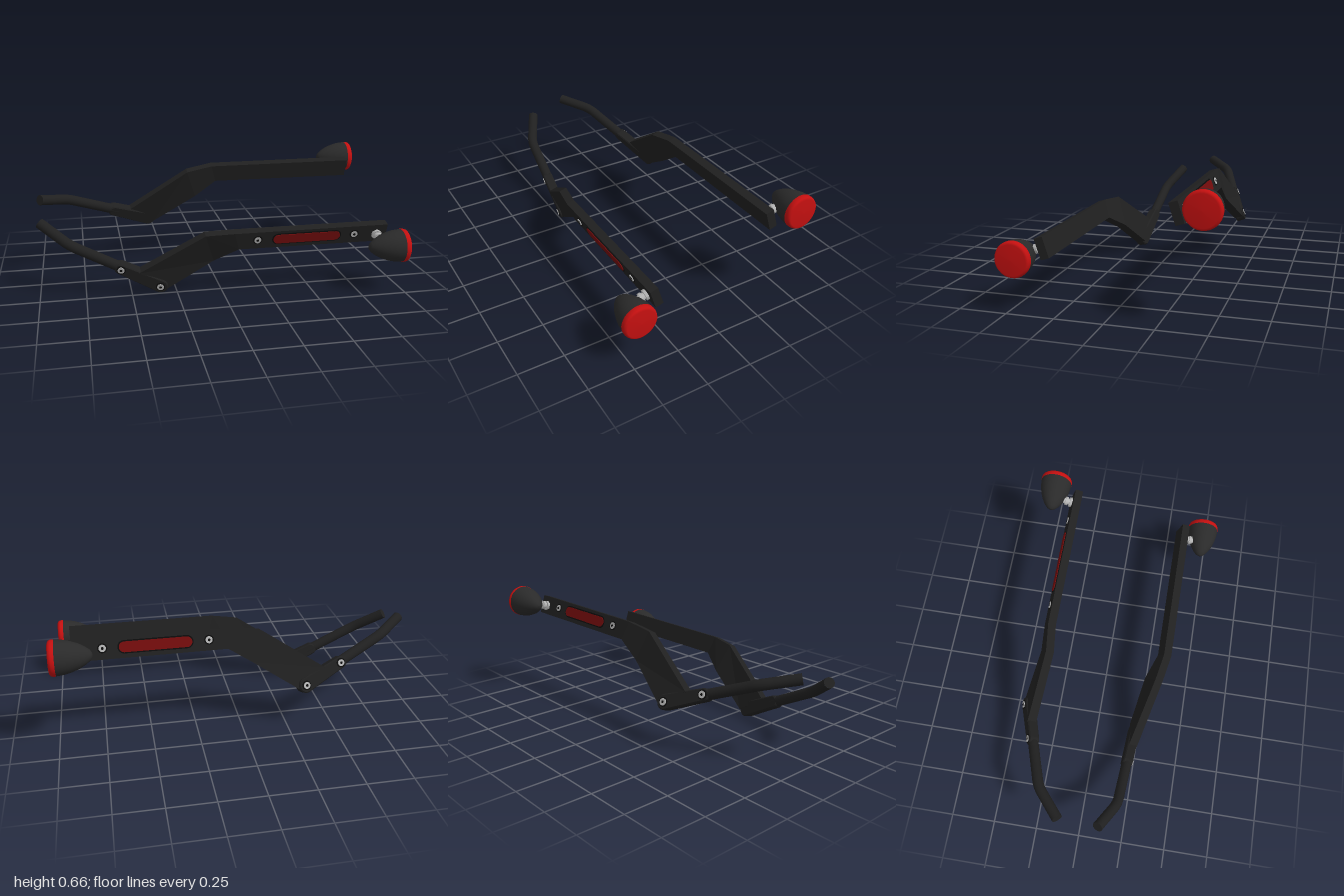
import * as THREE from 'three';

const mat = (name, color) => {
  const m = new THREE.MeshStandardMaterial({ color });
  m.name = name;
  return m;
};

// Box-like strip through four-cornered sections, flat shaded
function loft(sections) {
  const pos = [];
  const tri = (...p) => p.forEach((v) => pos.push(...v));
  const quad = (a, b, c, d) => tri(a, b, c, a, c, d);
  for (let i = 0; i < sections.length - 1; i++) {
    const a = sections[i], b = sections[i + 1];
    for (let k = 0; k < 4; k++) {
      const n = (k + 1) % 4;
      quad(a[k], a[n], b[n], b[k]);
    }
  }
  const s = sections[0], e = sections[sections.length - 1];
  quad(s[3], s[2], s[1], s[0]);
  quad(e[0], e[1], e[2], e[3]);
  const g = new THREE.BufferGeometry();
  g.setAttribute('position', new THREE.Float32BufferAttribute(pos, 3));
  g.computeVertexNormals();
  return g;
}

// Section from top and bottom points with inner and outer depths
const section = (tx, ty, tIn, tOut, bx, by, bIn, bOut) =>
  [[tx, ty, tOut], [tx, ty, tIn], [bx, by, bIn], [bx, by, bOut]];

// Pill outline with its own radius at each end
function pill(length, r0, r1) {
  const s = new THREE.Shape();
  s.absarc(0, 0, r0, Math.PI / 2, Math.PI * 1.5, false);
  s.absarc(length, 0, r1, -Math.PI / 2, Math.PI / 2, false);
  s.closePath();
  return s;
}

const plate = (shape, depth, bevel = 0) => new THREE.ExtrudeGeometry(shape, {
  depth, bevelEnabled: bevel > 0, bevelSize: bevel, bevelThickness: bevel,
  bevelOffset: -bevel, bevelSegments: 1, curveSegments: 10,
});

// Disc standing out along +z
const stud = (r, depth, sides = 20) =>
  new THREE.CylinderGeometry(r, r, depth, sides).rotateX(Math.PI / 2).translate(0, 0, depth / 2);

// Mirror in z and turn the triangles round again
function mirrorZ(geometry) {
  const g = geometry.index ? geometry.toNonIndexed() : geometry;
  g.scale(1, 1, -1);
  for (const a of Object.values(g.attributes)) {
    for (let i = 0; i < a.count; i += 3) {
      for (let c = 0; c < a.itemSize; c++) {
        const t = a.getComponent(i + 1, c);
        a.setComponent(i + 1, c, a.getComponent(i + 2, c));
        a.setComponent(i + 2, c, t);
      }
    }
  }
  return g;
}

export function createModel() {
  const black = mat('blackMetal', 0x202020);
  const housing = mat('lampBlack', 0x2a2a2a);
  const dark = mat('recessBlack', 0x0c0c0c);
  const steel = mat('steel', 0xb4b4b4);
  const red = mat('lensRed', 0xc41010);
  const deepRed = mat('markerRed', 0x740c0c);

  function buildSide(name, mirrored) {
    const group = new THREE.Group();
    group.name = name;
    const add = (part, geometry, material) => {
      const mesh = new THREE.Mesh(mirrored ? mirrorZ(geometry) : geometry, material);
      mesh.name = part;
      group.add(mesh);
    };
    const addBolt = (part, place) => {
      add(part + 'Ring', place(stud(0.026, 0.002)), dark);
      add(part, place(stud(0.019, 0.006)), steel);
      add(part + 'Socket', place(stud(0.008, 0.007, 6)), dark);
    };

    // Straight rail, elbow and sloping plate
    add('strut', loft([
      section(0.925, 0.468, 0.328, 0.373, 0.925, 0.358, 0.328, 0.373),
      section(0.05, 0.467, 0.328, 0.373, 0.08, 0.361, 0.328, 0.373),
      section(-0.104, 0.446, 0.305, 0.35, -0.05, 0.275, 0.298, 0.348),
      section(-0.46, 0.207, 0.283, 0.333, -0.3, 0.105, 0.303, 0.355),
    ]), black);

    // Lower arm along the handle direction
    const start = new THREE.Vector3(-0.339, 0.119, 0.33);
    const bend = new THREE.Vector3(-0.825, 0.348, 0.226);
    const dir = bend.clone().sub(start).normalize();
    const out = new THREE.Vector3(0, 0, 1).addScaledVector(dir, -dir.z).normalize();
    const armFrame = new THREE.Matrix4()
      .makeBasis(dir, out.clone().cross(dir), out).setPosition(start);
    add('arm', plate(pill(0.245, 0.042, 0.033), 0.044, 0.006)
      .translate(0, 0, -0.022).applyMatrix4(armFrame), black);
    for (const t of [0, 0.24]) {
      addBolt('armBolt', (g) => g.translate(t, 0, 0.028).applyMatrix4(armFrame));
    }

    // Bent round handle with capped end
    const end = new THREE.Vector3(-0.98, 0.427, 0.112);
    const onLine = (a, b, t) => a.clone().lerp(b, t);
    const path = new THREE.CurvePath();
    const p1 = onLine(bend, start, 0.08), p2 = onLine(bend, end, 0.2);
    path.add(new THREE.LineCurve3(onLine(start, bend, 0.4), p1));
    path.add(new THREE.QuadraticBezierCurve3(p1, bend, p2));
    path.add(new THREE.LineCurve3(p2, end));
    add('handle', new THREE.TubeGeometry(path, 40, 0.029, 18), black);
    const endDir = end.clone().sub(bend).normalize();
    const turn = new THREE.Quaternion().setFromUnitVectors(new THREE.Vector3(0, 0, 1), endDir);
    add('handleEnd', new THREE.CircleGeometry(0.029, 18)
      .applyQuaternion(turn).translate(end.x, end.y, end.z), black);

    // Red side marker and bolts on the outer face of the rail
    add('markerFrame', plate(pill(0.325, 0.035, 0.035), 0.002).translate(0.297, 0.417, 0.373), dark);
    add('sideMarker', plate(pill(0.325, 0.028, 0.028), 0.006).translate(0.297, 0.417, 0.373), deepRed);
    for (const x of [0.18, 0.734]) {
      addBolt('railBolt', (g) => g.translate(x, 0.418, 0.373));
    }

    // Lamp mount
    add('lampNut', stud(0.029, 0.016, 6).translate(0.865, 0.41, 0.372), steel);
    add('lampStem', stud(0.018, 0.06).translate(0.865, 0.41, 0.372), steel);
    add('lampCollar', stud(0.025, 0.016).translate(0.865, 0.41, 0.398), steel);

    // Bullet lamp: turned profiles laid along x
    const turned = (pts) => new THREE.LatheGeometry(
      pts.map(([r, x]) => new THREE.Vector2(r, x)), 32)
      .rotateZ(-Math.PI / 2).translate(0, 0.405, 0.487);
    add('lampHousing', turned([[0, 0.782], [0.014, 0.785], [0.028, 0.795], [0.046, 0.818],
      [0.064, 0.85], [0.078, 0.888], [0.087, 0.925], [0.091, 0.966]]), housing);
    add('lampLens', turned([[0.088, 0.964], [0.092, 0.966], [0.092, 0.982], [0.088, 0.992],
      [0.078, 0.998], [0, 1]]), red);
    return group;
  }

  // Mirrored pair, rolled as one about the x axis
  const pair = new THREE.Group();
  pair.name = 'strutPair';
  pair.add(buildSide('frontStrut', false), buildSide('backStrut', true));
  pair.position.z = -0.132;
  const tilt = new THREE.Group();
  tilt.name = 'tiltedAssembly';
  tilt.rotation.x = THREE.MathUtils.degToRad(18);
  tilt.add(pair);
  const model = new THREE.Group();
  model.name = 'strutSet';
  model.add(tilt);
  return model;
}
